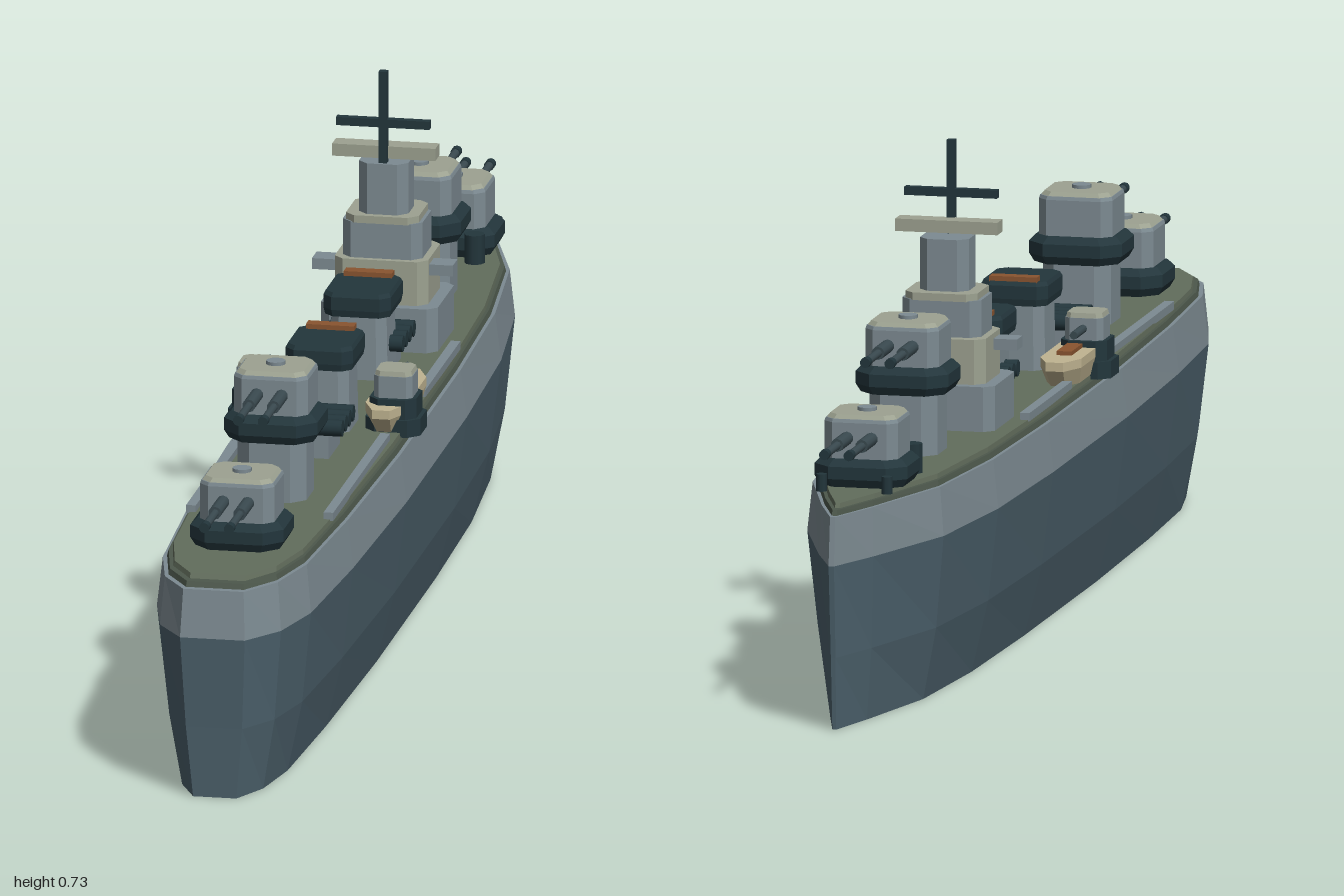
import * as THREE from 'three';

const mat = (name, color) => {
  const m = new THREE.MeshStandardMaterial({ color });
  m.name = name;
  return m;
};

// Loft between closed rings (clockwise seen from above), capped and flat shaded.
function loft(rings) {
  const n = rings[0].length, pos = [];
  const tri = (...p) => p.forEach((v) => pos.push(...v));
  for (let k = 0; k + 1 < rings.length; k++) {
    for (let i = 0; i < n; i++) {
      const j = (i + 1) % n;
      const a = rings[k][i], b = rings[k][j], c = rings[k + 1][j], d = rings[k + 1][i];
      tri(a, d, c);
      tri(a, c, b);
    }
  }
  const lo = rings[0], hi = rings[rings.length - 1];
  for (let i = 0; i < n; i++) {
    const j = (i + 1) % n;
    tri([0, lo[0][1], 0], lo[i], lo[j]);
    tri([0, hi[0][1], 0], hi[j], hi[i]);
  }
  const g = new THREE.BufferGeometry();
  g.setAttribute('position', new THREE.Float32BufferAttribute(pos, 3));
  g.computeVertexNormals();
  return g;
}

// Half outline of the ship in plan, from bow to stern: [z, half width]
const PLAN = [[-1, 0.004], [-0.91, 0.04], [-0.73, 0.1], [-0.5, 0.125], [-0.2, 0.134], [0.25, 0.135],
  [0.6, 0.126], [0.84, 0.112], [0.94, 0.088], [1, 0.047]];
const hullRing = (y, sx, sz) => [
  ...PLAN.map(([z, x]) => [x * sx, y, z * sz]),
  ...[...PLAN].reverse().map(([z, x]) => [-x * sx, y, z * sz]),
];

// Block with chamfered corners: half sizes w and d, chamfers cx and cz, levels of [y, scale]
const block = (w, d, cx, cz, levels) => loft(levels.map(([y, s]) => [
  [w - cx, -d], [w, cz - d], [w, d - cz], [w - cx, d],
  [cx - w, d], [-w, d - cz], [-w, cz - d], [cx - w, -d],
].map(([x, z]) => [x * s, y, z * s])));

export function createModel() {
  const ship = new THREE.Group();
  ship.name = 'warship';
  const M = {
    hull: mat('lower hull slate', 0x4d626d),
    steel: mat('steel grey', 0x7d8b92),
    deck: mat('deck green', 0x626d5c),
    trim: mat('deck edge green', 0x4d584c),
    dark: mat('dark steel', 0x23363c),
    gun: mat('gun metal', 0x3a4a50),
    roof: mat('pale roof grey', 0x9da291),
    cream: mat('boat cream', 0xc0b491),
    brown: mat('rust brown', 0x8a5530),
  };
  const add = (parent, name, geo, material, x = 0, y = 0, z = 0) => {
    const m = new THREE.Mesh(geo, material);
    m.name = name;
    m.position.set(x, y, z);
    parent.add(m);
    return m;
  };
  const box = (parent, name, material, w, h, d, x, y, z) =>
    add(parent, name, new THREE.BoxGeometry(w, h, d), material, x, y, z);
  const group = (name, x, y, z) => {
    const g = new THREE.Group();
    g.name = name;
    g.position.set(x, y, z);
    ship.add(g);
    return g;
  };
  const rod = (r, len, axis, sides = 10) => {
    const g = new THREE.CylinderGeometry(r, r, len, sides);
    if (axis === 'z') g.rotateX(Math.PI / 2);
    if (axis === 'x') g.rotateZ(Math.PI / 2);
    return g;
  };

  // Hull and deck
  add(ship, 'lowerHull', loft([hullRing(0, 0.67, 0.982), hullRing(0.105, 0.87, 0.988), hullRing(0.24, 1, 1)]), M.hull);
  add(ship, 'upperHull', loft([hullRing(0.24, 1, 1), hullRing(0.31, 0.935, 0.992)]), M.steel);
  add(ship, 'deckEdge', loft([hullRing(0.308, 0.9, 0.982), hullRing(0.318, 0.88, 0.978)]), M.trim);
  add(ship, 'deck', loft([hullRing(0.316, 0.85, 0.965), hullRing(0.325, 0.84, 0.96)]), M.deck);
  for (const s of [-1, 1]) {
    box(ship, 'aftWalkway', M.steel, 0.014, 0.012, 0.42, s * 0.1, 0.329, 0.44);
    box(ship, 'forwardWalkway', M.steel, 0.014, 0.012, 0.26, s * 0.106, 0.329, -0.13);
    add(ship, 'capstan', rod(0.015, 0.045, 'y', 8), M.dark, s * 0.047, 0.345, -0.7);
    add(ship, 'bollard', rod(0.008, 0.025, 'y', 8), M.dark, s * 0.048, 0.335, -0.86);
  }

  // Main gun turrets: position, base height and facing (barrels point along local +z)
  function turret(z, base, facing) {
    const g = group('mainTurret', 0, base, z);
    if (facing < 0) g.rotation.y = Math.PI;
    if (base > 0.35) {
      add(g, 'barbette', block(0.05, 0.048, 0.02, 0.02, [[0.32 - base, 1], [0.01, 1]]), M.steel);
    }
    add(g, 'collar', block(0.068, 0.064, 0.026, 0.026, [[0, 0.9], [0.012, 1], [0.03, 1], [0.04, 0.86]]), M.dark);
    add(g, 'gunHouse', block(0.054, 0.05, 0.014, 0.014, [[0.035, 1], [0.092, 1], [0.097, 0.97]]), M.steel);
    add(g, 'roof', block(0.052, 0.048, 0.014, 0.014, [[0.096, 1], [0.103, 0.9]]), M.roof);
    add(g, 'hatch', rod(0.014, 0.006, 'y'), M.steel, 0, 0.105, 0);
    for (const s of [-1, 1]) {
      add(g, 'barrelSleeve', rod(0.0095, 0.07, 'z'), M.gun, s * 0.018, 0.07, 0.075);
      add(g, 'barrel', rod(0.006, 0.14, 'z'), M.gun, s * 0.018, 0.07, 0.115);
      add(g, 'muzzle', rod(0.0075, 0.014, 'z'), M.dark, s * 0.018, 0.07, 0.182);
    }
  }
  turret(-0.78, 0.325, -1);
  turret(-0.53, 0.414, -1);
  turret(0.53, 0.414, 1);
  turret(0.78, 0.325, 1);

  // Bridge tower, built up in tiers: half width, half depth, bottom, top, z
  const tiers = [
    ['bridgeBase', M.steel, 0.085, 0.073, 0.32, 0.39, -0.295],
    ['bridgeMiddle', M.roof, 0.068, 0.058, 0.388, 0.455, -0.295],
    ['bridgeUpper', M.steel, 0.058, 0.046, 0.453, 0.508, -0.292],
    ['bridgeLedge', M.roof, 0.053, 0.048, 0.507, 0.518, -0.292],
    ['directorTower', M.steel, 0.036, 0.034, 0.516, 0.593, -0.288],
  ];
  for (const [name, m, w, d, y0, y1, z] of tiers) {
    add(ship, name, block(w, d, 0.014, 0.014, [[y0, 1], [y1, 1]]), m, 0, 0, z);
  }
  box(ship, 'bridgeWing', M.steel, 0.205, 0.016, 0.035, 0, 0.439, -0.275);
  box(ship, 'rangefinder', M.roof, 0.15, 0.018, 0.03, 0, 0.607, -0.282);
  box(ship, 'mast', M.dark, 0.012, 0.145, 0.012, 0, 0.656, -0.265);
  box(ship, 'yard', M.dark, 0.136, 0.012, 0.012, 0, 0.652, -0.265);

  // Funnels
  for (const z of [-0.115, 0.165]) {
    const f = group('funnel', 0, 0, z);
    add(f, 'casing', block(0.042, 0.046, 0.014, 0.014, [[0.32, 1], [0.43, 0.95]]), M.steel);
    add(f, 'cap', block(0.049, 0.058, 0.014, 0.014, [[0.42, 0.96], [0.43, 1], [0.449, 1], [0.455, 0.94]]), M.dark);
    box(f, 'vent', M.brown, 0.07, 0.01, 0.02, 0, 0.457, -0.044);
  }

  // Racks of tubes lying across the deck
  for (const z of [-0.148, 0.3]) {
    const r = group('tubeRack', 0, 0, z);
    box(r, 'cradle', M.steel, 0.08, 0.04, 0.085, 0, 0.34, 0);
    for (let i = 0; i < 4; i++) {
      add(r, 'tube', rod(0.012, 0.12, 'x'), M.dark, 0, 0.371, (i - 1.5) * 0.027);
    }
  }

  // Ship's boats and side gun mounts, mirrored
  for (const s of [-1, 1]) {
    const b = group('boat', s * 0.09, 0, 0.1);
    add(b, 'boatHull', block(0.03, 0.112, 0.017, 0.04, [[0.325, 0.8], [0.35, 1], [0.363, 1]]), M.cream);
    box(b, 'boatDeck', M.brown, 0.022, 0.008, 0.085, 0, 0.365, -0.01);

    const m = group('sideGun', s * 0.1, 0, 0.15);
    add(m, 'sponson', block(0.04, 0.04, 0.016, 0.016, [[0.318, 1], [0.343, 1]]), M.dark);
    add(m, 'sideGunCollar', block(0.034, 0.036, 0.014, 0.014, [[0.343, 1], [0.372, 1]]), M.dark);
    add(m, 'sideGunHouse', block(0.028, 0.028, 0.008, 0.008, [[0.37, 1], [0.404, 1]]), M.steel);
    add(m, 'sideGunRoof', block(0.027, 0.027, 0.008, 0.008, [[0.404, 1], [0.411, 0.94]]), M.roof);
    add(m, 'sideGunBarrel', rod(0.006, 0.07, 'z', 8), M.gun, 0, 0.389, -0.05);
  }
  return ship;
}
